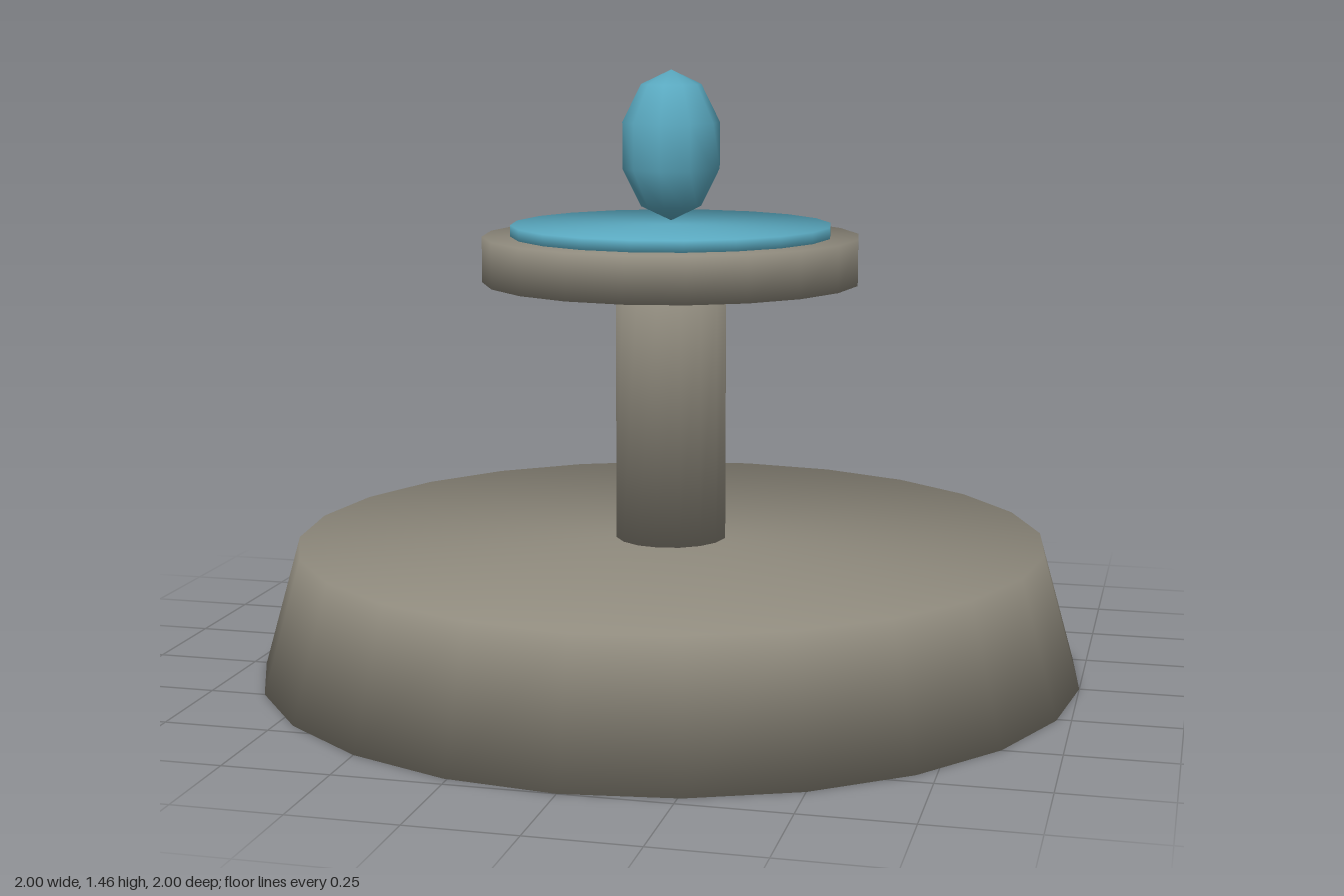
import * as THREE from 'three';

const stone = new THREE.MeshStandardMaterial({ name: 'stone', color: 0x8f8a7d });
const water = new THREE.MeshStandardMaterial({ name: 'water', color: 0x5aa9c0 });

// Blend the normals of coincident vertices so caps and sides shade as one smooth surface
function softenNormals(geometry) {
  const { position, normal } = geometry.attributes;
  const sums = new Map();
  const key = (i) => [position.getX(i), position.getY(i), position.getZ(i)]
    .map((v) => Math.round(v * 1e4)).join();
  const n = new THREE.Vector3();
  for (let i = 0; i < position.count; i++) {
    const k = key(i);
    if (!sums.has(k)) sums.set(k, new THREE.Vector3());
    sums.get(k).add(n.fromBufferAttribute(normal, i));
  }
  for (let i = 0; i < position.count; i++) {
    n.copy(sums.get(key(i))).normalize();
    normal.setXYZ(i, n.x, n.y, n.z);
  }
  return geometry;
}

// Upright drum between two heights
function drum(name, material, rTop, rBottom, y0, y1, sides) {
  const geometry = softenNormals(new THREE.CylinderGeometry(rTop, rBottom, y1 - y0, sides));
  const mesh = new THREE.Mesh(geometry, material);
  mesh.name = name;
  mesh.position.y = (y0 + y1) / 2;
  return mesh;
}

export function createModel() {
  const fountain = new THREE.Group();
  fountain.name = 'fountain';

  // Stone body: tapered basin, column and upper bowl
  fountain.add(
    drum('basin', stone, 0.91, 1, 0, 0.32, 24),
    drum('column', stone, 0.135, 0.135, 0.32, 0.95, 16),
    drum('upperBowl', stone, 0.455, 0.455, 0.95, 1.06, 20),
  );

  // Water surface in the upper bowl
  fountain.add(drum('waterSurface', water, 0.387, 0.387, 1.055, 1.087, 20));

  // Tall droplet hovering just above the water
  const droplet = new THREE.Mesh(new THREE.SphereGeometry(1, 10, 5), water);
  droplet.name = 'waterDroplet';
  droplet.scale.set(0.123, 0.18, 0.123);
  droplet.rotation.y = Math.PI / 2;
  droplet.position.y = 1.276;
  fountain.add(droplet);

  return fountain;
}
